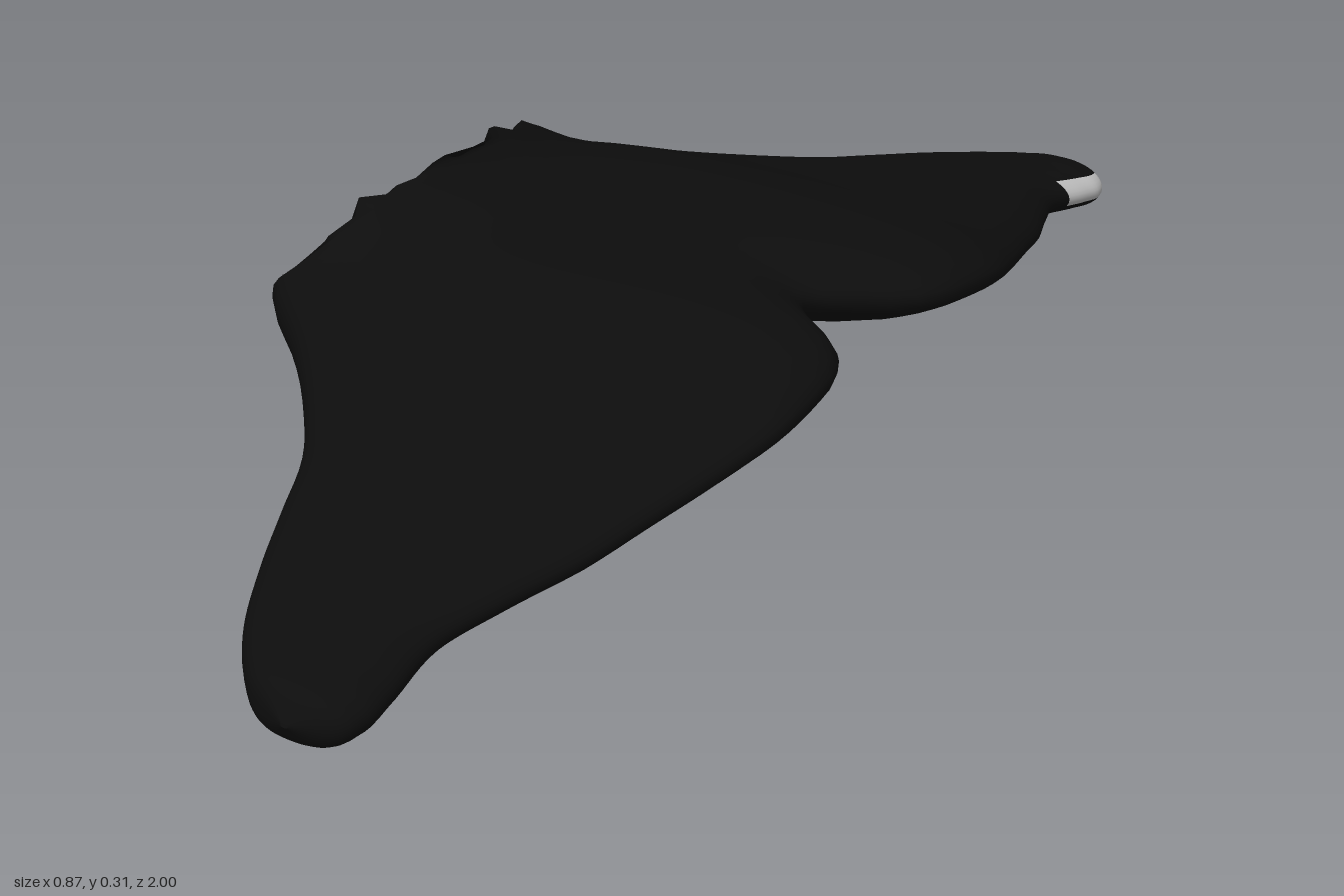
import * as THREE from 'three';
import { mergeVertices } from 'three/addons/utils/BufferGeometryUtils.js';

// Half-span stations: distance from the middle, then leading x, trailing x, top y, bottom y
const STATIONS = [
  [0, -0.43, 0.29, 0.237, 0.095],
  [0.04, -0.43, 0.32, 0.237, 0.094],
  [0.1, -0.425, 0.4, 0.237, 0.09],
  [0.15, -0.425, 0.427, 0.237, 0.087],
  [0.2, -0.42, 0.435, 0.235, 0.083],
  [0.3, -0.38, 0.435, 0.222, 0.075],
  [0.4, -0.26, 0.41, 0.195, 0.065],
  [0.5, -0.16, 0.382, 0.172, 0.055],
  [0.6, -0.08, 0.355, 0.15, 0.045],
  [0.7, -0.03, 0.318, 0.13, 0.033],
  [0.8, 0.02, 0.288, 0.11, 0.02],
  [0.9, 0.08, 0.297, 0.09, 0.006],
  [0.95, 0.125, 0.298, 0.08, 0.001],
  [0.98, 0.165, 0.28, 0.07, 0.006],
  [1, 0.22, 0.23, 0.042, 0.036],
];
const spline = new THREE.CubicInterpolant(
  STATIONS.map((s) => s[0]), STATIONS.flatMap((s) => s.slice(1)), 4, new Float32Array(4));

const STUMP = 0.3; // half width of the torn stump
const CHORD = 24; // steps along each side of a section
const SPAN = 56; // sections on each half

// Small repeatable noise for the ragged rim
const noise = (n) => {
  const v = Math.sin(n * 127.1) * 43758.5453;
  return (v - Math.floor(v)) * 2 - 1;
};

// Rounded thickness along the chord, 0 at both edges and 1 in the middle
const thickness = (u) =>
  Math.sqrt(Math.max(0, 1 - Math.abs(2 * Math.pow(u, 0.8) - 1) ** 2.5));

// One closed section: along the top from the leading edge, back along the bottom
function section(z, id) {
  const a = Math.abs(z);
  const [lead, trail, top, bottom] = spline.evaluate(a);
  const k = Math.sqrt(Math.max(0, 1 - (a / STUMP) ** 2));
  const mid = (top + bottom) / 2;
  const half = (top - bottom) / 2;
  const lip = lead + 0.17 * k;
  const points = [];
  for (let i = 0; i <= 2 * CHORD; i++) {
    const onTop = i <= CHORD;
    const u = (1 - Math.cos((Math.PI * (onTop ? i : 2 * CHORD - i)) / CHORD)) / 2;
    const f = thickness(u);
    const lift = 0.02 * u * u * Math.max(0, 1 - a / 0.6);
    let x, y;
    if (onTop) {
      x = lip + (trail - lip) * u;
      const full = u < 0.4 ? THREE.MathUtils.lerp(f, 1, k) : f;
      y = mid + half * full + 0.062 * k * Math.exp((lip - x) / 0.06);
    } else {
      x = lead + (trail - lead) * u;
      y = mid - half * Math.max(f, u < 0.4 ? 0.35 * k : 0);
    }
    // Ragged teeth on the torn rim
    if (u === 0 && k > 0) {
      x += 0.014 * noise(id + (onTop ? 3 : 61));
      if (onTop) y += 0.012 * noise(id + 17);
    }
    points.push([x, y + lift, z]);
  }
  return points;
}

// Skin over rows of points; isPale picks the faces of the second material
function loft(rows, isPale = () => false) {
  const width = rows[0].length;
  const dark = [];
  const pale = [];
  for (let s = 0; s < rows.length - 1; s++) {
    for (let i = 0; i < width - 1; i++) {
      const a = s * width + i;
      const c = a + width;
      (isPale(rows[s][i], i) ? pale : dark).push(a, c, a + 1, a + 1, c, c + 1);
    }
  }
  const geometry = new THREE.BufferGeometry();
  geometry.setAttribute('position', new THREE.Float32BufferAttribute(rows.flat(2), 3));
  geometry.setIndex([...dark, ...pale]);
  geometry.addGroup(0, dark.length, 0);
  if (pale.length) geometry.addGroup(dark.length, pale.length, 1);
  const merged = mergeVertices(geometry, 1e-5);
  merged.computeVertexNormals();
  return merged;
}

export function createModel() {
  const skin = new THREE.MeshStandardMaterial({ color: 0x0d0d0d });
  skin.name = 'black skin';
  skin.side = THREE.DoubleSide;
  const scar = new THREE.MeshStandardMaterial({ color: 0xc4c4c4 });
  scar.name = 'pale scar';
  scar.side = THREE.DoubleSide;

  const group = new THREE.Group();
  group.name = 'tailFluke';

  // Both lobes as one skin, with a pale scar on the trailing edge of one tip
  const rows = [];
  for (let s = -SPAN; s <= SPAN; s++) {
    rows.push(section(Math.sin((s / SPAN) * Math.PI / 2), s));
  }
  const isScar = ([, , z], i) =>
    z > -0.985 && z < -0.86 && i >= CHORD - 5 && i < CHORD + 2;
  const lobes = new THREE.Mesh(loft(rows, isScar), [skin, scar]);
  lobes.name = 'flukeLobes';
  group.add(lobes);

  // Sloping torn face of the stump, slightly hollowed
  const STEPS = 6;
  const faceRows = rows.filter((r) => Math.abs(r[0][2]) < STUMP + 0.02).map((r) => {
    const high = r[0];
    const low = r[2 * CHORD];
    const depth = 0.15 * (high[1] - low[1]);
    return Array.from({ length: STEPS + 1 }, (_, j) => {
      const t = j / STEPS;
      const dip = depth * Math.sin(Math.PI * t);
      return [
        low[0] + (high[0] - low[0]) * t + dip,
        low[1] + (high[1] - low[1]) * t - dip * 0.5,
        low[2],
      ];
    });
  });
  const stump = new THREE.Mesh(loft(faceRows), skin);
  stump.name = 'tornStumpFace';
  group.add(stump);

  return group;
}
